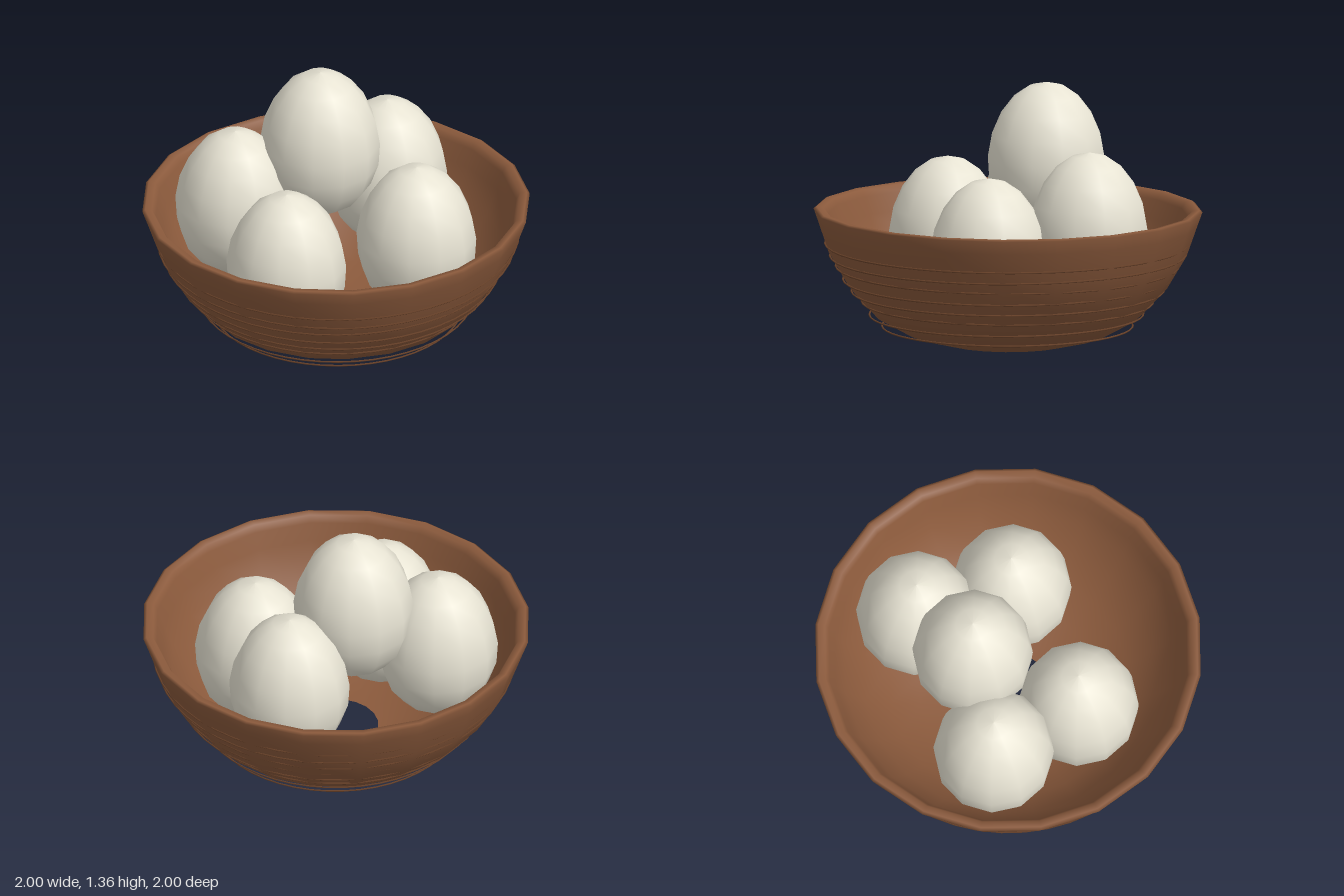
import * as THREE from 'three';

const mat = (name, color) => {
  const m = new THREE.MeshStandardMaterial({ color });
  m.name = name;
  return m;
};
const lathe = (pts, sides) =>
  new THREE.LatheGeometry(pts.map(([r, y]) => new THREE.Vector2(r, y)), sides);

export function createModel() {
  const brown = mat('clay brown', 0x8b5a3c);
  const darkBrown = mat('dark brown', 0x6b432a);
  const shell = mat('eggshell', 0xe8e4d4);
  const group = new THREE.Group();
  const add = (name, geometry, material) => {
    const mesh = new THREE.Mesh(geometry, material);
    mesh.name = name;
    group.add(mesh);
    return mesh;
  };

  // Bowl: outer wall up, rounded rim, inner wall down, open foot in the middle
  const bowl = add('bowl', lathe([
    [0.22, 0], [0.33, 0.015], [0.51, 0.06], [0.69, 0.16], [0.82, 0.3],
    [0.92, 0.47], [0.975, 0.63], [1, 0.7], [0.985, 0.71], [0.95, 0.705],
    [0.93, 0.67], [0.9, 0.58], [0.85, 0.46], [0.75, 0.31], [0.62, 0.19],
    [0.46, 0.105], [0.3, 0.065], [0.22, 0.06],
  ], 20), brown);
  bowl.rotation.x = -0.006;

  // Thin woven bands, slightly off-centre so they dip in and out of the wall
  const bands = [
    [0.1, 0.645], [0.16, 0.705], [0.225, 0.75], [0.285, 0.805],
    [0.345, 0.842], [0.41, 0.882], [0.47, 0.917], [0.53, 0.936],
  ];
  bands.forEach(([y, r], i) => {
    const band = add('band', new THREE.TorusGeometry(r, 0.005, 4, 48), darkBrown);
    band.rotation.x = Math.PI / 2 + 0.004 * Math.sin(i * 2.3);
    band.position.set(0.004 * Math.cos(i * 1.9), y, 0.004 * Math.sin(i * 1.9));
  });

  // Eggs: twelve-sided, narrower at the top, small opening underneath
  const profile = [];
  for (let i = 1; i <= 10; i++) {
    const t = -Math.PI / 2 + (Math.PI * i) / 10;
    const s = Math.sin(t);
    profile.push([i === 10 ? 0 : 0.31 * Math.cos(t) * (1 - 0.08 * s), 0.4 * s]);
  }
  const eggGeometry = lathe(profile, 12);
  const eggs = [
    [0, 1.36, -0.21], [-0.43, 1.055, -0.315], [0.42, 1.055, -0.315],
    [-0.37, 0.935, 0.21], [0.36, 0.935, 0.205],
  ];
  eggs.forEach(([x, top, z]) => {
    add('egg', eggGeometry, shell).position.set(x, top - 0.4, z);
  });

  return group;
}
